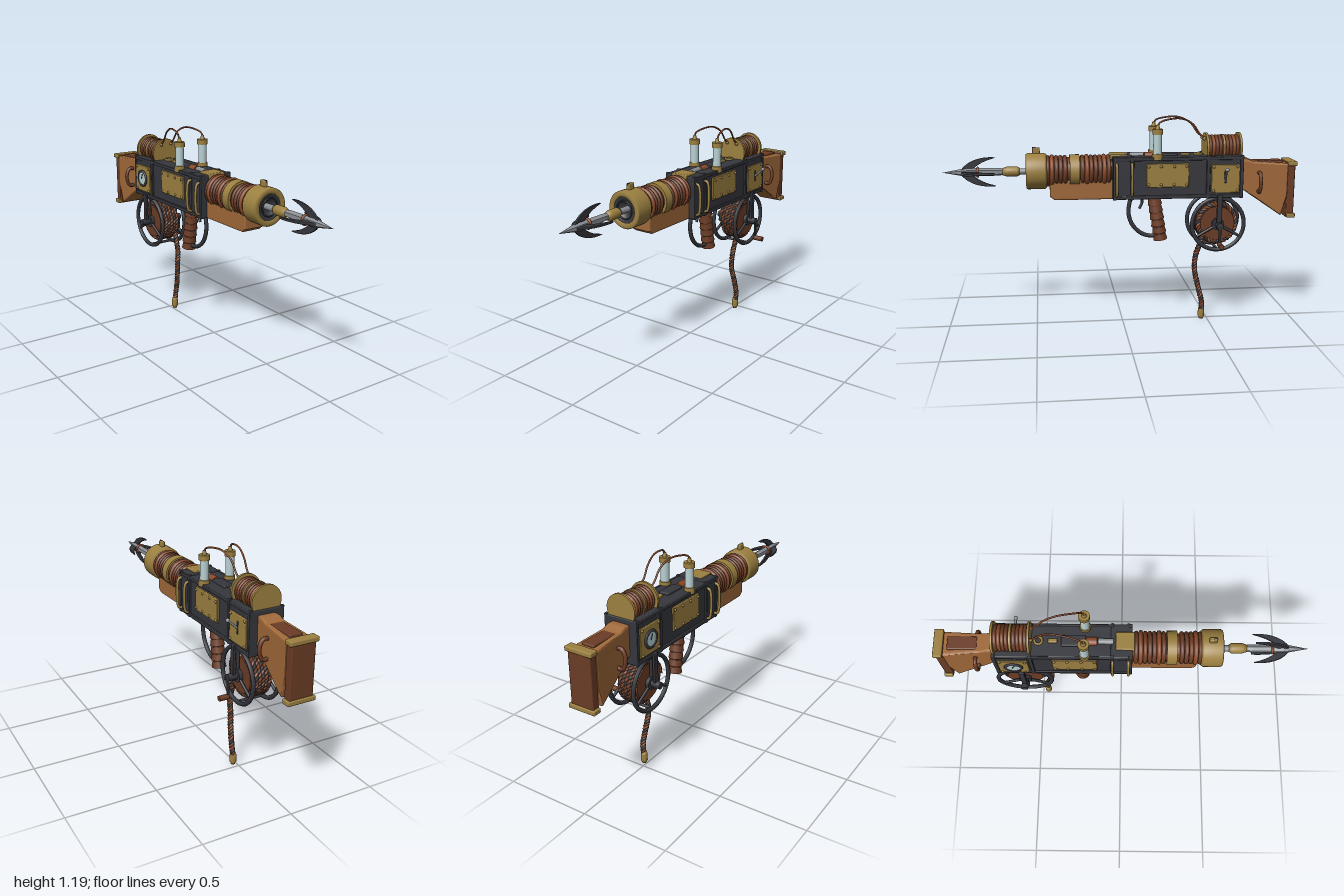
import * as THREE from 'three';
import { RoundedBoxGeometry } from 'three/addons/geometries/RoundedBoxGeometry.js';

const mat = (color, extra = {}) => new THREE.MeshStandardMaterial({ color, ...extra });
const brass = mat(0x9c8040), iron = mat(0x36373d), leather = mat(0x6b3c26), copper = mat(0x8a4a2a);
const wood = mat(0xa0693a), glass = mat(0xb9d0d2), steel = mat(0x8b8f95);
const facetSteel = mat(0x8b8f95, { flatShading: true });
const V = (x, y, z) => new THREE.Vector3(x, y, z);
const AXIS = 0.893; // barrel height

export function createModel() {
  const g = new THREE.Group();
  g.name = 'harpoonGun';

  const add = (name, geo, m, x = 0, y = 0, z = 0, parent = g) => {
    const mesh = new THREE.Mesh(geo, m);
    mesh.name = name;
    mesh.position.set(x, y, z);
    parent.add(mesh);
    return mesh;
  };
  const box = (name, w, h, d, m, x, y, z, r = 0.006) =>
    add(name, new RoundedBoxGeometry(w, h, d, 2, r), m, x, y, z);
  // cylinder along a chosen axis
  const cyl = (name, r, len, m, x, y, z, axis = 'y', r2 = r, seg = 28) => {
    const c = add(name, new THREE.CylinderGeometry(r2, r, len, seg), m, x, y, z);
    if (axis === 'z') c.rotation.x = Math.PI / 2;
    if (axis === 'x') c.rotation.z = -Math.PI / 2;
    return c;
  };
  // ring around the z axis, or around x
  const ring = (name, R, r, m, x, y, z, axis = 'z', seg = 40) => {
    const t = add(name, new THREE.TorusGeometry(R, r, 8, seg), m, x, y, z);
    if (axis === 'x') t.rotation.y = Math.PI / 2;
    return t;
  };
  const tube = (name, pts, r, m, n = 40) =>
    add(name, new THREE.TubeGeometry(new THREE.CatmullRomCurve3(pts), n, r, 8), m);
  // lathe profile of [radius, z] turned around the barrel axis
  const turned = (name, pts, m, seg = 40) => {
    const t = add(name, new THREE.LatheGeometry(pts.map(p => new THREE.Vector2(...p)), seg), m, 0, AXIS, 0);
    t.rotation.x = Math.PI / 2;
    return t;
  };
  // side outline in (z, y) extruded across x
  const slab = (shape, w, bevel) => {
    const geo = new THREE.ExtrudeGeometry(shape, { depth: w - 2 * bevel, bevelSize: bevel, bevelThickness: bevel, bevelSegments: 3, curveSegments: 12 });
    return geo.translate(0, 0, bevel - w / 2).rotateY(-Math.PI / 2);
  };
  const outline = pts => new THREE.Shape(pts.map(p => new THREE.Vector2(...p)));

  // Receiver: front collar, middle housing, rear block
  box('frontCollar', 0.19, 0.24, 0.115, iron, 0, 0.857, 0.003);
  box('housing', 0.178, 0.236, 0.43, iron, 0, 0.855, -0.262);
  box('rearBlock', 0.19, 0.24, 0.21, iron, 0, 0.855, -0.575);
  for (const s of [-1, 1]) {
    for (const y of [0.748, 0.964]) box('housingRail', 0.014, 0.02, 0.73, iron, s * 0.092, y, -0.31, 0.004);
    for (const z of [0.05, -0.048, -0.478, -0.67]) box('framePost', 0.02, 0.245, 0.02, iron, s * 0.09, 0.857, z, 0.004);
  }

  // Barrel with wound rings, brass band and muzzle
  cyl('barrel', 0.076, 0.42, leather, 0, AXIS, 0.24, 'z');
  for (let i = 0; i < 15; i++) {
    const z = 0.08 + i * 0.0243;
    if (z > 0.235 && z < 0.305) continue;
    ring('barrelCoil', i % 4 === 1 ? 0.08 : 0.076, 0.0125, i % 4 === 1 ? copper : leather, 0, AXIS, z);
  }
  cyl('barrelBand', 0.091, 0.055, brass, 0, AXIS, 0.27, 'z');
  turned('muzzle', [[0.07, 0.425], [0.092, 0.425], [0.101, 0.437], [0.101, 0.532], [0.095, 0.54], [0.072, 0.54], [0.07, 0.53], [0.07, 0.5]], brass);
  turned('muzzleBore', [[0.072, 0.532], [0.05, 0.532], [0.046, 0.515], [0.03, 0.515], [0.028, 0.505], [0, 0.505]].reverse(), mat(0x36373d, { side: THREE.DoubleSide }));
  ring('muzzleInnerRing', 0.048, 0.004, iron, 0, AXIS, 0.533);
  box('sightBase', 0.022, 0.035, 0.042, brass, 0, 1.008, 0.482);
  box('sightBlade', 0.008, 0.015, 0.02, iron, 0, 1.02, 0.494, 0.002);
  box('barrelSaddle', 0.1, 0.03, 0.1, brass, 0, 0.972, 0.022);

  // Fore-end
  add('foreEnd', slab(outline([[0.02, 0.745], [0.38, 0.745], [0.4, 0.76], [0.4, 0.84], [0.02, 0.84]]), 0.125, 0.01), wood);

  // Harpoon: rod, socket, faceted spear and four barbs
  cyl('harpoonRod', 0.017, 0.12, steel, 0, AXIS, 0.55, 'z');
  turned('harpoonSocket', [[0, 0.575], [0.02, 0.575], [0.028, 0.59], [0.028, 0.645], [0.02, 0.67], [0, 0.67]], brass, 20);
  turned('harpoonHead', [[0.018, 0.66], [0.022, 0.7], [0.022, 0.8], [0.026, 0.865], [0.015, 0.92], [0, 1]], facetSteel, 6);
  ring('harpoonRing', 0.024, 0.007, copper, 0, AXIS, 0.807, 'z', 20);
  const barb = new THREE.Shape();
  barb.moveTo(0.9, 0.008);
  barb.quadraticCurveTo(0.845, 0.086, 0.71, 0.08);
  barb.quadraticCurveTo(0.8, 0.06, 0.845, 0.008);
  for (let i = 0; i < 4; i++) add('harpoonBarb', slab(barb, 0.012, 0.002), iron, 0, AXIS, 0).rotation.z = i * Math.PI / 2;

  // Stock, flaring towards the butt
  const stockGeo = slab(outline([[-0.66, 0.94], [-0.71, 0.94], [-0.75, 0.925], [-0.94, 0.912], [-0.94, 0.74], [-0.912, 0.632], [-0.69, 0.785], [-0.66, 0.79]]), 0.104, 0.01);
  const p = stockGeo.attributes.position;
  for (let i = 0; i < p.count; i++) p.setX(i, p.getX(i) * (1 + 0.35 * Math.max(0, -0.7 - p.getZ(i)) / 0.25));
  stockGeo.computeVertexNormals();
  add('stock', stockGeo, wood);
  box('cheekPad', 0.074, 0.03, 0.16, leather, 0, 0.921, -0.845);
  box('buttPad', 0.135, 0.325, 0.045, leather, 0, 0.77, -0.968);
  for (const y of [0.62, 0.922]) box('buttCap', 0.16, 0.026, 0.05, brass, 0, y, -0.973);
  for (const s of [-1, 1])
    tube('stockLoop', [V(s * 0.045, 0.87, -0.78), V(s * 0.085, 0.87, -0.78), V(s * 0.105, 0.82, -0.78), V(s * 0.085, 0.765, -0.78), V(s * 0.045, 0.765, -0.78)], 0.011, leather, 24);

  // Side plates with bolts, and tube guards on the collar
  for (const s of [-1, 1]) {
    box('sidePlate', 0.018, 0.134, 0.24, brass, s * 0.09, 0.871, -0.247, 0.004);
    box('rearPlate', 0.018, 0.16, 0.162, brass, s * 0.094, 0.848, -0.576, 0.004);
    for (const y of [0.82, 0.922]) for (const z of [-0.14, -0.21, -0.284, -0.354])
      add('plateBolt', new THREE.SphereGeometry(0.008, 10, 8), brass, s * 0.099, y, z);
    for (const y of [0.78, 0.916]) for (const z of [-0.508, -0.644])
      add('plateBolt', new THREE.SphereGeometry(0.008, 10, 8), brass, s * 0.103, y, z);
    for (const z of [-0.045, 0.04])
      tube('collarGuard', [V(s * 0.085, 0.937, z), V(s * 0.108, 0.937, z), V(s * 0.119, 0.92, z), V(s * 0.119, 0.78, z), V(s * 0.108, 0.763, z), V(s * 0.085, 0.763, z)], 0.008, brass);
  }

  // Switch lever on the left, gauge on the right
  box('leverSlot', 0.006, 0.07, 0.014, iron, 0.103, 0.86, -0.576, 0.002);
  tube('lever', [V(0.1, 0.855, -0.575), V(0.13, 0.882, -0.573), V(0.155, 0.905, -0.571)], 0.006, steel, 8);
  add('leverKnob', new THREE.SphereGeometry(0.011, 14, 10), steel, 0.157, 0.907, -0.571);
  cyl('gaugeFace', 0.042, 0.012, glass, -0.104, 0.85, -0.576, 'x');
  ring('gaugeRim', 0.044, 0.008, iron, -0.106, 0.85, -0.576, 'x');
  box('gaugeNeedle', 0.004, 0.034, 0.005, iron, -0.111, 0.862, -0.576, 0.001).rotation.x = 0.4;

  // Breech details along the top
  cyl('breechRod', 0.016, 0.08, steel, 0, 0.975, -0.08, 'z');
  cyl('breechBolt', 0.024, 0.06, copper, 0, 0.968, -0.155, 'z');
  box('breechBlock', 0.06, 0.03, 0.13, iron, 0, 0.97, -0.25);
  box('breechCatch', 0.024, 0.02, 0.05, brass, 0, 0.975, -0.36);
  ring('breechEye', 0.02, 0.007, brass, 0, 0.978, -0.435).rotation.x = Math.PI / 2;

  // Top spool
  cyl('spoolCore', 0.063, 0.19, leather, 0, 1.013, -0.573, 'z');
  for (let i = 0; i < 9; i++) ring('spoolCoil', 0.062, 0.011, i % 3 === 1 ? copper : leather, 0, 1.013, -0.495 - i * 0.0195);
  for (const z of [-0.478, -0.573, -0.667]) cyl('spoolFlange', z === -0.573 ? 0.075 : 0.085, 0.013, brass, 0, 1.013, z, 'z', undefined, 40);

  // Glass vials and their feed pipes
  for (const s of [-1, 1]) {
    const x = s * 0.078, z = -0.19;
    cyl('vialBase', 0.03, 0.035, brass, x, 0.976, z);
    cyl('vialGlass', 0.024, 0.12, glass, x, 1.045, z);
    cyl('vialCap', 0.03, 0.028, brass, x, 1.115, z);
    cyl('vialNozzle', 0.014, 0.025, brass, x, 1.14, z, 'y', 0.008);
    tube('feedPipe', [V(x, 1.14, z), V(x, 1.163, -0.2), V(s * 0.066, 1.18, -0.25), V(s * 0.05, 1.182, -0.33), V(s * 0.038, 1.15, -0.395), V(s * 0.033, 1.09, -0.44), V(s * 0.033, 1.067, -0.475)], 0.005, copper);
    add('pipeFitting', new THREE.SphereGeometry(0.01, 12, 8), brass, s * 0.033, 1.067, -0.463);
  }

  // Grip, trigger and guard
  const grip = new THREE.Group();
  grip.name = 'grip';
  grip.position.set(0, 0.74, -0.182);
  grip.rotation.x = 0.16;
  g.add(grip);
  add('gripCore', new THREE.CylinderGeometry(0.036, 0.03, 0.265, 20), leather, 0, -0.13, 0, grip);
  for (let i = 0; i < 6; i++)
    add('gripWrap', new THREE.CylinderGeometry(0.035, 0.041, 0.036, 20), leather, 0, -0.035 - i * 0.042, 0, grip);
  tube('triggerGuard', [V(0, 0.75, -0.055), V(0, 0.71, -0.045), V(0, 0.64, -0.037), V(0, 0.57, -0.06), V(0, 0.52, -0.11), V(0, 0.503, -0.16), V(0, 0.505, -0.21)], 0.012, iron);
  tube('trigger', [V(0, 0.74, -0.11), V(0, 0.7, -0.115), V(0, 0.665, -0.1)], 0.008, iron, 12);

  // Rope made of three strands twisted around a path
  const rope = (name, path, n, turns, spread, r) => {
    const { normals, binormals } = path.computeFrenetFrames(n, false);
    [iron, copper, leather].forEach((m, k) => {
      const pts = normals.map((nv, i) => {
        const a = i / n * turns * Math.PI * 2 + k * Math.PI * 2 / 3;
        return path.getPointAt(i / n).addScaledVector(nv, Math.cos(a) * spread).addScaledVector(binormals[i], Math.sin(a) * spread);
      });
      add(name, new THREE.TubeGeometry(new THREE.CatmullRomCurve3(pts), n * 2, r, 6), m);
    });
  };

  // Rope reel with side wheels, hangers and crank
  const ry = 0.58, rz = -0.545;
  cyl('reelDrum', 0.1, 0.125, leather, 0, ry, rz, 'x');
  const wound = Array.from({ length: 85 }, (_, i) => {
    const a = i / 16 * Math.PI * 2;
    return V(-0.05 + 0.1 * i / 84, ry + Math.sin(a) * 0.11, rz + Math.cos(a) * 0.11);
  });
  rope('woundRope', new THREE.CatmullRomCurve3(wound), 420, 60, 0.008, 0.009);
  cyl('axle', 0.012, 0.27, iron, 0, ry, rz, 'x');
  for (const s of [-1, 1]) {
    cyl('axleHub', 0.019, 0.055, iron, s * 0.11, ry, rz, 'x');
    cyl('reelHub', 0.035, 0.02, iron, s * 0.075, ry, rz, 'x');
    ring('sideWheel', 0.151, 0.012, iron, s * 0.077, ry, rz, 'x', 56);
    for (let i = 0; i < 3; i++) {
      const a = i * Math.PI * 2 / 3;
      const spoke = cyl('wheelSpoke', 0.008, 0.15, iron, s * 0.077, ry + Math.cos(a) * 0.075, rz + Math.sin(a) * 0.075);
      spoke.rotation.x = a;
    }
    box('reelHanger', 0.016, 0.2, 0.03, iron, s * 0.105, 0.66, rz, 0.004);
  }
  cyl('wheelCrossbar', 0.008, 0.155, iron, 0, ry - 0.151, rz, 'x');
  box('crankArm', 0.012, 0.125, 0.016, iron, 0.132, 0.525, rz, 0.004);
  cyl('crankHandle', 0.015, 0.055, leather, 0.158, 0.472, rz, 'x');

  // Hanging rope with brass end cap
  rope('hangingRope', new THREE.CatmullRomCurve3([V(0.05, 0.52, -0.462), V(0.05, 0.46, -0.447), V(0.047, 0.39, -0.425), V(0.041, 0.3, -0.422), V(0.05, 0.19, -0.445), V(0.053, 0.11, -0.464), V(0.046, 0.05, -0.467)]), 160, 9, 0.008, 0.0085);
  add('ropeEnd', new THREE.LatheGeometry([[0, 0], [0.012, 0], [0.015, 0.012], [0.019, 0.015], [0.019, 0.055], [0.014, 0.07], [0, 0.07]].map(q => new THREE.Vector2(...q)), 18), brass, 0.045, 0, -0.466);

  g.position.x = -0.028;
  return g;
}
